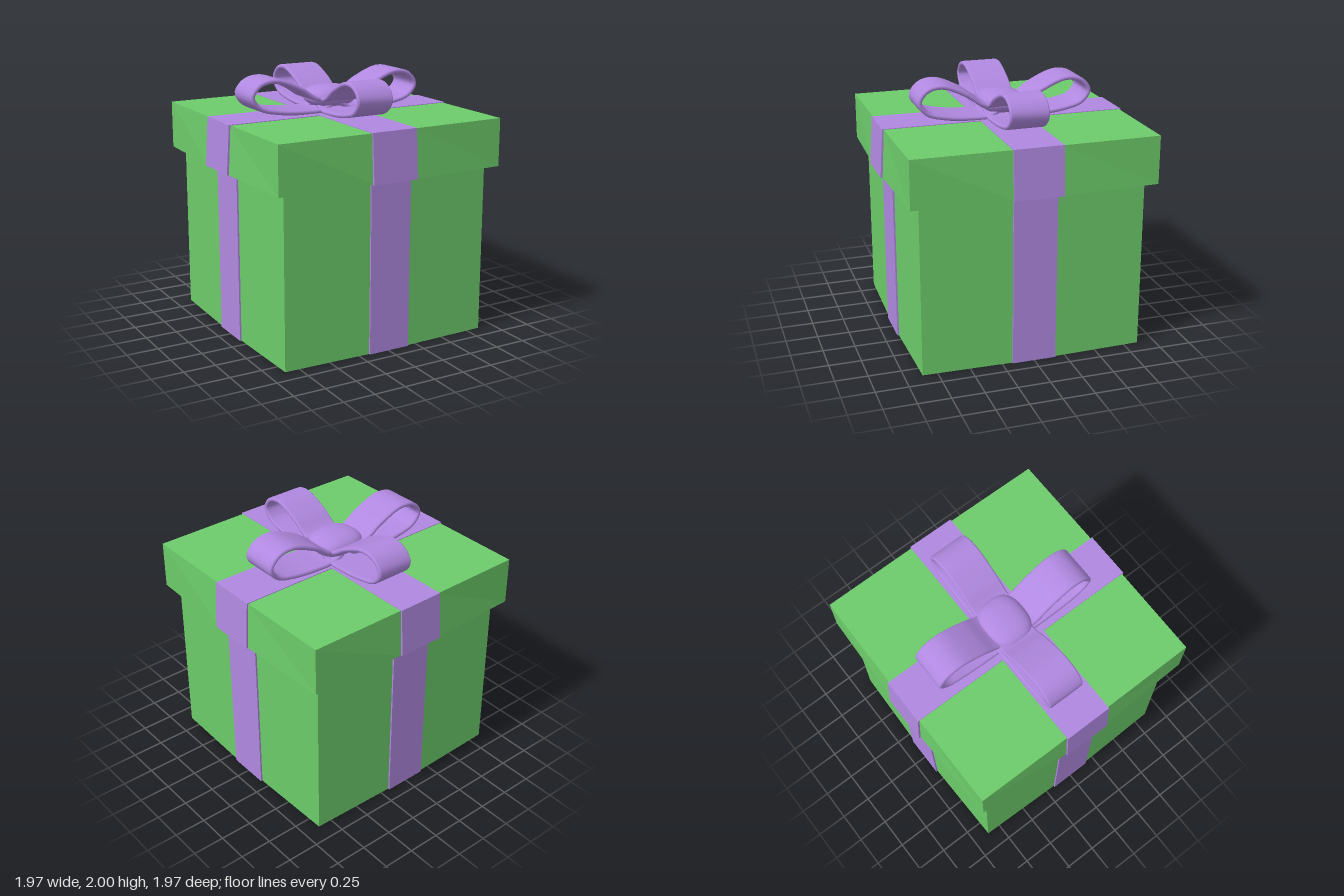
import * as THREE from 'three';

const green = new THREE.MeshStandardMaterial({ color: 0x6ccb6a });
const purple = new THREE.MeshStandardMaterial({ color: 0xb088e0 });

function add(parent, name, geometry, material) {
  const mesh = new THREE.Mesh(geometry, material);
  mesh.name = name;
  parent.add(mesh);
  return mesh;
}

// Square outline whose sides bulge slightly towards the ribbon
function outline(corner, mid, inset = 0) {
  const c = corner - inset, m = mid - inset, points = [];
  for (let i = 0; i < 4; i++) {
    for (const [x, y] of [[c, -c], [m, -0.18], [m, 0.18]]) {
      points.push(new THREE.Vector2(x, y).rotateAround(new THREE.Vector2(), i * Math.PI / 2));
    }
  }
  return points;
}

// Upright prism from an outline, optionally hollow
function prism(points, y0, y1, hole) {
  const shape = new THREE.Shape(points);
  if (hole) shape.holes.push(new THREE.Path(hole));
  const geo = new THREE.ExtrudeGeometry(shape, { depth: y1 - y0, bevelEnabled: false });
  return geo.rotateX(-Math.PI / 2).translate(0, y0, 0);
}

// Flat band of ribbon: profile in x/y, extruded over a range of z
function band(profile, from, to) {
  const shape = new THREE.Shape(profile.map(([x, y]) => new THREE.Vector2(x, y)));
  const geo = new THREE.ExtrudeGeometry(shape, { depth: to - from, bevelEnabled: false });
  return geo.translate(0, 0, from);
}

// Bow loop: a round-edged strip swept along a closed teardrop
function loopGeometry(reach) {
  const path = new THREE.CatmullRomCurve3([
    [0.02, 1.79], [0.18, 1.82], [0.32, 1.905], [0.53, 1.981], [0.66, 1.955],
    [0.723, 1.87], [0.66, 1.785], [0.52, 1.744], [0.3, 1.722], [0.12, 1.728],
  ].map(([x, y]) => new THREE.Vector3(x * reach / 0.74, y, 0)), true);
  const N = 80, M = 16, pos = [], index = [];
  for (let i = 0; i < N; i++) {
    const p = path.getPointAt(i / N), t = path.getTangentAt(i / N);
    for (let j = 0; j < M; j++) {
      const a = (j + 0.5) / M * Math.PI * 2;
      const n = 0.018 * Math.cos(a);
      const w = 0.018 * Math.sin(a) + 0.134 * Math.sign(Math.sin(a));
      pos.push(p.x - t.y * n, p.y + t.x * n, w);
      const i2 = (i + 1) % N, j2 = (j + 1) % M;
      const A = i * M + j, B = i * M + j2, C = i2 * M + j, D = i2 * M + j2;
      index.push(A, B, C, B, D, C);
    }
  }
  const geo = new THREE.BufferGeometry();
  geo.setAttribute('position', new THREE.Float32BufferAttribute(pos, 3));
  geo.setIndex(index);
  geo.computeVertexNormals();
  return geo;
}

export function createModel() {
  const model = new THREE.Group();
  model.name = 'giftBox';

  // Box body with a recessed floor
  const body = new THREE.Group();
  body.name = 'body';
  model.add(body);
  add(body, 'bodyWalls', prism(outline(0.865, 0.882), 0, 1.67, outline(0.865, 0.882, 0.04)), green);
  add(body, 'bodyFloor', prism(outline(0.84, 0.85), 0.012, 0.05), green);

  // Hollow lid, flaring a little towards its lower edge
  const lid = new THREE.Group();
  lid.name = 'lid';
  model.add(lid);
  const skirt = prism(outline(0.942, 0.967), 1.33, 1.7, outline(0.942, 0.967, 0.035));
  const top = prism(outline(0.942, 0.946), 1.665, 1.702);
  const p = skirt.attributes.position;
  for (let i = 0; i < p.count; i++) {
    if (p.getY(i) < 1.6) continue;
    p.setX(i, THREE.MathUtils.clamp(p.getX(i), -0.946, 0.946));
    p.setZ(i, THREE.MathUtils.clamp(p.getZ(i), -0.946, 0.946));
  }
  skirt.computeVertexNormals();
  add(lid, 'lidSkirt', skirt, green);
  add(lid, 'lidTop', top, green);

  // Ribbons: a U under the body and an upturned U over the lid, both ways
  const bodyProfile = [[-0.895, 0], [0.895, 0], [0.895, 1.6], [0.86, 1.6],
    [0.86, 0.03], [-0.86, 0.03], [-0.86, 1.6], [-0.895, 1.6]];
  const lidProfile = [[-0.983, 1.33], [-0.957, 1.33], [-0.935, 1.68], [0.935, 1.68],
    [0.957, 1.33], [0.983, 1.33], [0.958, 1.707], [-0.958, 1.707]];
  const turn = Math.PI / 2;
  add(model, 'bodyRibbonAcross', band(bodyProfile, -0.17, 0.17), purple);
  add(model, 'bodyRibbonFrontToBack', band(bodyProfile, -0.165, 0.175).rotateY(turn), purple);
  add(model, 'lidRibbonAcross', band(lidProfile, -0.187, 0.194), purple);
  add(model, 'lidRibbonFrontToBack', band(lidProfile, -0.197, 0.175).rotateY(turn), purple);

  // Bow of four loops
  const bow = new THREE.Group();
  bow.name = 'bow';
  model.add(bow);
  const loops = [
    ['leftLoop', 0, 0.725, 0, -0.013],
    ['rightLoop', Math.PI, 0.737, 0, -0.03],
    ['backLoop', turn, 0.71, 0.01, 0],
    ['frontLoop', -turn, 0.675, 0.005, 0],
  ];
  for (const [name, angle, reach, x, z] of loops) {
    const loop = add(bow, name, loopGeometry(reach), purple);
    loop.rotation.y = angle;
    loop.position.set(x, 0, z);
  }

  // Knot: a sphere squared off towards a cushion
  const knot = new THREE.SphereGeometry(1, 40, 24);
  const k = knot.attributes.position;
  const square = (v) => Math.sign(v) * Math.abs(v) ** 0.75;
  for (let i = 0; i < k.count; i++) {
    k.setXYZ(i, square(k.getX(i)) * 0.2, k.getY(i) * 0.085, square(k.getZ(i)) * 0.175);
  }
  knot.computeVertexNormals();
  add(bow, 'knot', knot, purple).position.set(0.005, 1.815, -0.018);

  return model;
}
